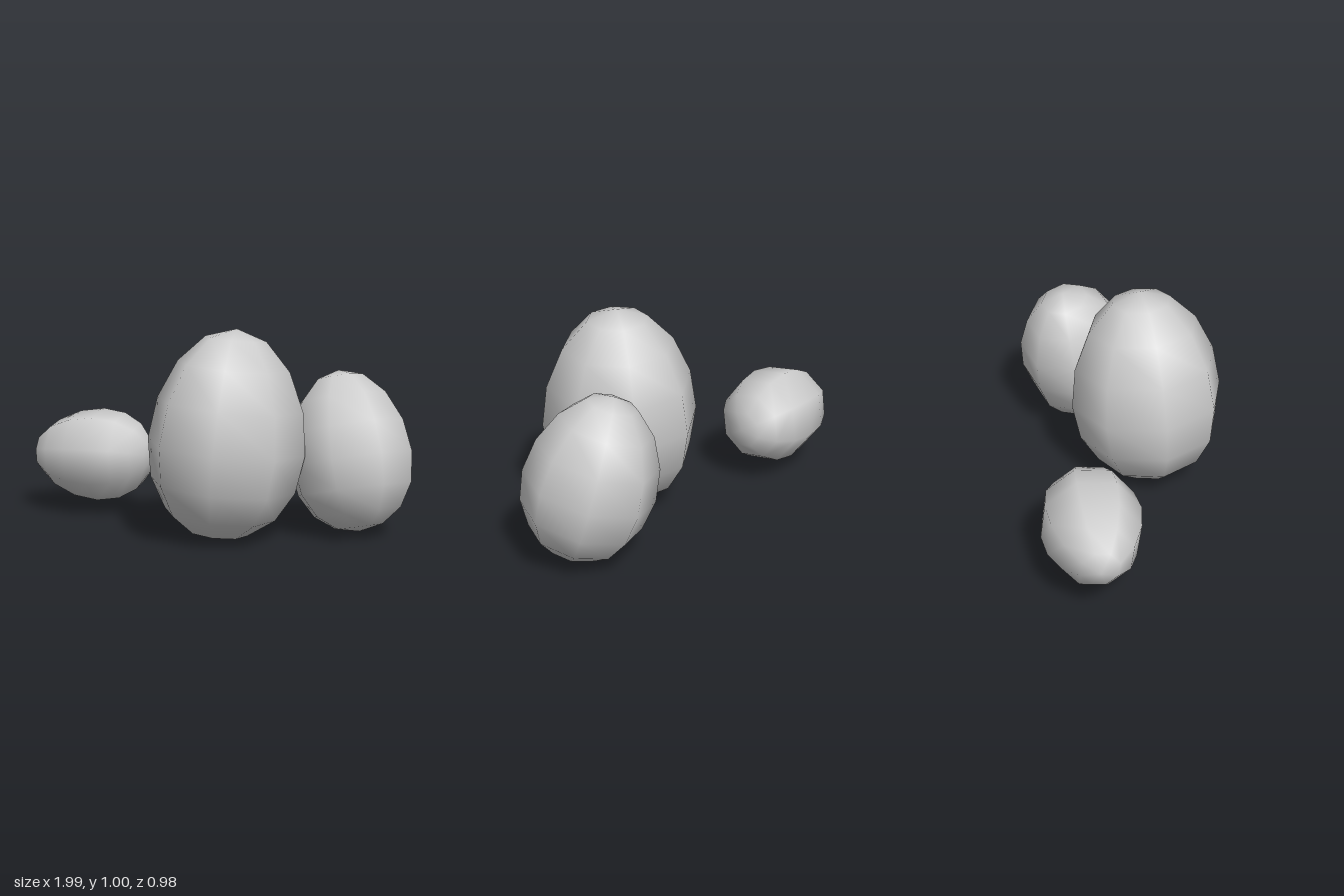
import * as THREE from 'three';
import { mergeVertices } from 'three/addons/utils/BufferGeometryUtils.js';

const SIDES = 8, RINGS = 8;
const BLUNT = 0.443; // share of the length between the blunt end and the widest ring

// Egg of unit length, widest ring at the origin, narrow end towards +y
function eggGeometry(radius) {
  const profile = [];
  for (let i = 0; i <= RINGS; i++) {
    const a = Math.PI * (1 - i / RINGS), c = Math.cos(a);
    const r = i % RINGS === 0 ? 0 : radius * Math.sin(a);
    profile.push(new THREE.Vector2(r, 0.5 * c + (0.5 - BLUNT) * c * c));
  }
  let geometry = new THREE.LatheGeometry(profile, SIDES);
  // Weld the seam and the poles so the shading runs smoothly
  geometry.deleteAttribute('uv');
  geometry.deleteAttribute('normal');
  geometry = mergeVertices(geometry, 1e-5);
  geometry.computeVertexNormals();
  return geometry;
}

// Place an egg between its blunt end and its narrow end, spun about its axis
function makeEgg(name, blunt, tip, radius, spinDegrees, material) {
  const start = new THREE.Vector3(...blunt);
  const axis = new THREE.Vector3(...tip).sub(start);
  const length = axis.length();
  const egg = new THREE.Mesh(eggGeometry(radius / length), material);
  egg.name = name;
  egg.scale.setScalar(length);
  egg.position.copy(start).addScaledVector(axis, BLUNT);
  egg.quaternion.setFromUnitVectors(new THREE.Vector3(0, 1, 0), axis.normalize());
  egg.rotateY(THREE.MathUtils.degToRad(spinDegrees));
  return egg;
}

export function createModel() {
  const group = new THREE.Group();
  group.name = 'eggs';
  const material = new THREE.MeshStandardMaterial({ color: 0xcccccc });
  group.add(
    makeEgg('largeEgg', [0.11, 0.005, 0.13], [0.19, 1.01, 0.08], 0.38, 8.3, material),
    makeEgg('mediumEgg', [0.75, 0.03, -0.12], [0.6, 0.79, -0.27], 0.308, -3, material),
    // Lying on its side
    makeEgg('smallEgg', [-0.36, 0.303, -0.25], [-1, 0.303, -0.225], 0.24, 17, material),
  );
  return group;
}
